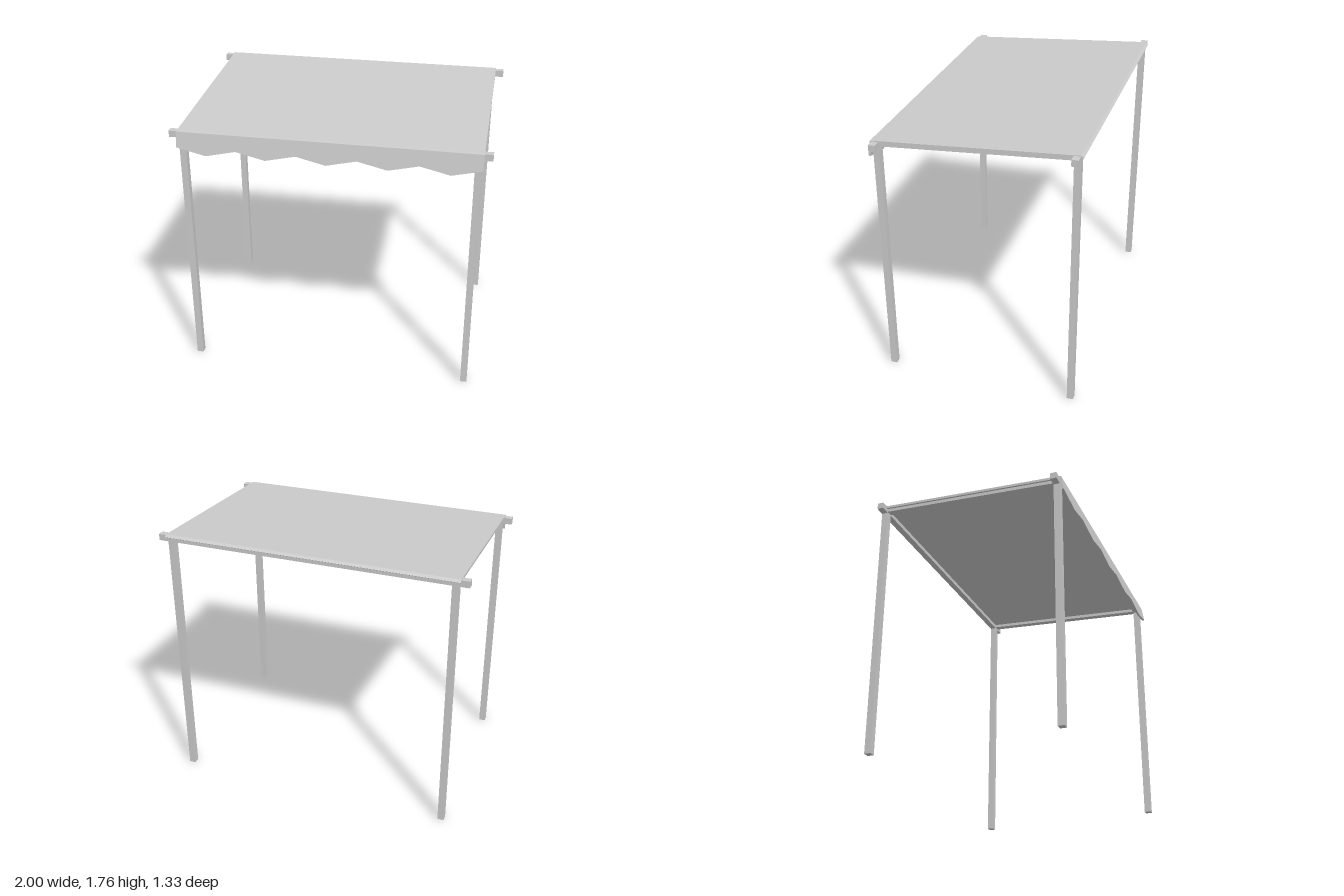
import * as THREE from 'three';

export function createModel() {
  const model = new THREE.Group();
  const material = new THREE.MeshStandardMaterial({ color: 0xcccccc, flatShading: true });

  const add = (name, geometry, x = 0, y = 0, z = 0) => {
    const mesh = new THREE.Mesh(geometry, material);
    mesh.name = name;
    mesh.position.set(x, y, z);
    model.add(mesh);
    return mesh;
  };

  const T = 0.042;            // timber thickness
  const POST_X = 0.916;
  const CANOPY_W = 1.896;
  const ends = [
    { name: 'front', z: 0.607, top: 1.664 },
    { name: 'back', z: -0.625, top: 1.756 },
  ];

  // Posts and the cross beams that rest on them
  for (const { name, z, top } of ends) {
    for (const s of [-1, 1]) {
      const h = top - T;
      add(`${name}${s > 0 ? 'Left' : 'Right'}Post`, new THREE.BoxGeometry(T, h, T), s * POST_X, h / 2, z);
    }
    add(`${name}Beam`, new THREE.BoxGeometry(2, T, T), 0, top - T / 2, z);
  }

  // Sloping side rafters between the beams
  const [f, b] = ends;
  const run = f.z - b.z, rise = b.top - f.top;
  for (const s of [-1, 1]) {
    const rafter = add(s > 0 ? 'leftRafter' : 'rightRafter',
      new THREE.BoxGeometry(T, 0.028, Math.hypot(run, rise)),
      s * POST_X, (f.top + b.top) / 2 - 0.02, (f.z + b.z) / 2);
    rafter.rotation.x = Math.atan2(rise, run);
  }

  // Canopy sheet: side profile in (z, y), with a small drip lip at the back
  const profile = new THREE.Shape([
    [0.641, 1.655], [0.634, 1.667], [0.615, 1.669], [-0.648, 1.762], [-0.663, 1.747],
    [-0.657, 1.743], [-0.643, 1.745], [0.62, 1.652],
  ].map(([z, y]) => new THREE.Vector2(-z, y)));
  const sheet = new THREE.ExtrudeGeometry(profile, { depth: CANOPY_W, bevelEnabled: false });
  sheet.rotateY(Math.PI / 2);
  sheet.translate(-CANOPY_W / 2, 0, 0);
  add('canopy', sheet);

  // Hanging valance with a zigzag hem, leaning slightly forward
  const half = CANOPY_W / 2, waves = 5;
  const hem = new THREE.Shape();
  hem.moveTo(half, 0);
  hem.lineTo(-half, 0);
  for (let i = 0; i <= waves * 2; i++) {
    hem.lineTo(-half + (i / (waves * 2)) * CANOPY_W, i % 2 ? -0.143 : -0.101);
  }
  const valance = add('valance',
    new THREE.ExtrudeGeometry(hem, { depth: 0.014, bevelEnabled: false }), 0, 1.664, 0.627);
  valance.rotation.x = -0.155;

  return model;
}
